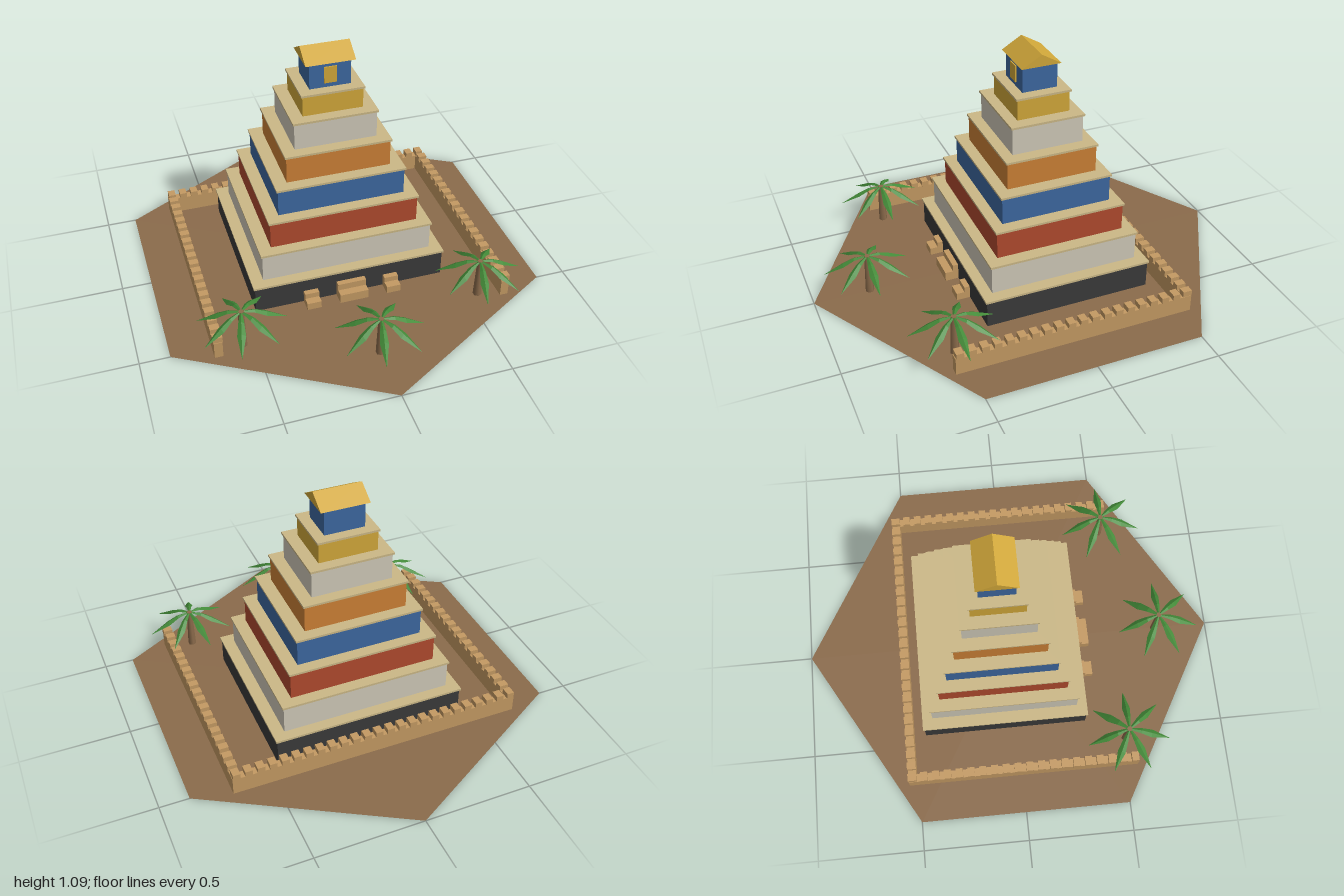
import * as THREE from 'three';

const mat = (name, color, extra = {}) => {
  const m = new THREE.MeshStandardMaterial({ color, ...extra });
  m.name = name;
  return m;
};

export function createModel() {
  const M = {
    earth: mat('earthBrown', 0x8b6b4b, { side: THREE.DoubleSide }),
    brick: mat('mudBrick', 0xc49a63),
    black: mat('bitumenBlack', 0x3a3a3a),
    trim: mat('sandTrim', 0xcbb887),
    white: mat('chalkWhite', 0xcfc9b8),
    red: mat('brickRed', 0xb04a2e),
    blue: mat('glazedBlue', 0x3d68a0),
    orange: mat('ochreOrange', 0xcc8036),
    gold: mat('gold', 0xd2a83a),
    leaf: mat('palmGreen', 0x438a38, { side: THREE.DoubleSide, flatShading: true }),
  };
  const root = new THREE.Group();
  root.name = 'steppedTemple';

  const group = (name, parent = root) => {
    const g = new THREE.Group();
    g.name = name;
    parent.add(g);
    return g;
  };
  const add = (parent, name, geo, material, x = 0, y = 0, z = 0) => {
    const m = new THREE.Mesh(geo, material);
    m.name = name;
    m.position.set(x, y, z);
    parent.add(m);
    return m;
  };
  // box standing on height y
  const block = (parent, name, w, h, d, material, x, y, z) =>
    add(parent, name, new THREE.BoxGeometry(w, h, d), material, x, y + h / 2, z);

  // hexagonal ground sheet
  add(root, 'ground', new THREE.CircleGeometry(1, 6, Math.PI / 2).rotateX(-Math.PI / 2), M.earth);

  // seven tiers: half width, half depth, top height, colour
  const cz = -0.06;
  const tower = group('tower');
  const tiers = [
    [0.447, 0.392, 0.135, M.black],
    [0.398, 0.349, 0.275, M.white],
    [0.346, 0.303, 0.41, M.red],
    [0.295, 0.258, 0.545, M.blue],
    [0.241, 0.212, 0.68, M.orange],
    [0.19, 0.167, 0.815, M.white],
    [0.139, 0.123, 0.92, M.gold],
  ];
  const lip = 0.01;
  let base = 0;
  tiers.forEach(([hx, hz, top, material], i) => {
    block(tower, `tier${i + 1}`, hx * 2, top - lip - base, hz * 2, material, 0, base, cz);
    block(tower, `tierTrim${i + 1}`, hx * 2 + 0.013, lip, hz * 2 + 0.013, M.trim, 0, top - lip, cz);
    base = top;
  });

  // shrine with door and gabled roof
  const shrine = group('shrine');
  block(shrine, 'shrineBody', 0.19, 0.12, 0.164, M.blue, 0, 0.92, cz);
  block(shrine, 'shrineDoor', 0.058, 0.078, 0.008, M.gold, 0, 0.942, cz + 0.084);
  const gable = new THREE.Shape([[-0.093, 0], [0.093, 0], [0, 0.055]].map(p => new THREE.Vector2(...p)));
  const roof = new THREE.ExtrudeGeometry(gable, { depth: 0.228, bevelEnabled: false });
  roof.translate(0, 0, -0.114).rotateY(Math.PI / 2);
  add(shrine, 'shrineRoof', roof, M.gold, 0, 1.039, cz);

  // stepped stairs against the front face
  const stairs = group('stairs');
  for (const [x, w, h] of [[-0.19, 0.066, 0.06], [0, 0.134, 0.076], [0.19, 0.066, 0.06]]) {
    block(stairs, 'upperStep', w, h, 0.03, M.brick, x, 0, 0.343);
    block(stairs, 'lowerStep', w, h * 0.58, 0.038, M.brick, x, 0, 0.376);
  }

  // enclosure wall with battlements on three sides
  const wall = group('enclosureWall');
  const wallH = 0.08, thick = 0.038, wx = 0.667, back = -0.528, front = 0.562;
  const merlon = (x, z, w, d) => block(wall, 'merlon', w, 0.026, d, M.brick, x, wallH, z);
  block(wall, 'backWall', wx * 2 + thick, wallH, thick, M.brick, 0, 0, back);
  const nBack = 24;
  for (let i = 0; i <= nBack; i++) {
    merlon(-wx + (2 * wx * i) / nBack, back, 0.034, 0.043);
  }
  const sideLen = front - back - thick / 2;
  const nSide = 19;
  for (const s of [-1, 1]) {
    block(wall, 'sideWall', thick, wallH, sideLen, M.brick, s * wx, 0, front - sideLen / 2);
    for (let i = 1; i <= nSide; i++) {
      merlon(s * wx, back + ((front - 0.02 - back) * i) / nSide, 0.043, 0.034);
    }
  }

  // drooping frond folded along its midrib: distance, ridge height, half width
  const ribs = [[0.008, 0.194, 0.005], [0.06, 0.188, 0.013], [0.11, 0.165, 0.019], [0.2, 0.112, 0.0005]];
  const pos = [], index = [];
  ribs.forEach(([r, y, w], i) => {
    pos.push(r, y - w * 0.6, -w, r, y, 0, r, y - w * 0.6, w);
    if (i === 0) return;
    const a = (i - 1) * 3, b = i * 3;
    for (const k of [0, 1]) index.push(a + k, a + k + 1, b + k, a + k + 1, b + k + 1, b + k);
  });
  let frond = new THREE.BufferGeometry();
  frond.setAttribute('position', new THREE.Float32BufferAttribute(pos, 3));
  frond.setIndex(index);
  frond = frond.toNonIndexed();
  frond.computeVertexNormals();

  // three palms with seven fronds each
  const trunk = new THREE.CylinderGeometry(0.013, 0.02, 0.194, 6);
  for (const [x, z] of [[-0.552, 0.52], [0.552, 0.52], [0, 0.74]]) {
    const palm = group('palm');
    palm.position.set(x, 0, z);
    add(palm, 'palmTrunk', trunk, M.earth, 0, 0.097, 0);
    for (let i = 0; i < 7; i++) {
      add(palm, 'palmFrond', frond, M.leaf).rotation.y = (-i * Math.PI * 2) / 7;
    }
  }
  return root;
}
